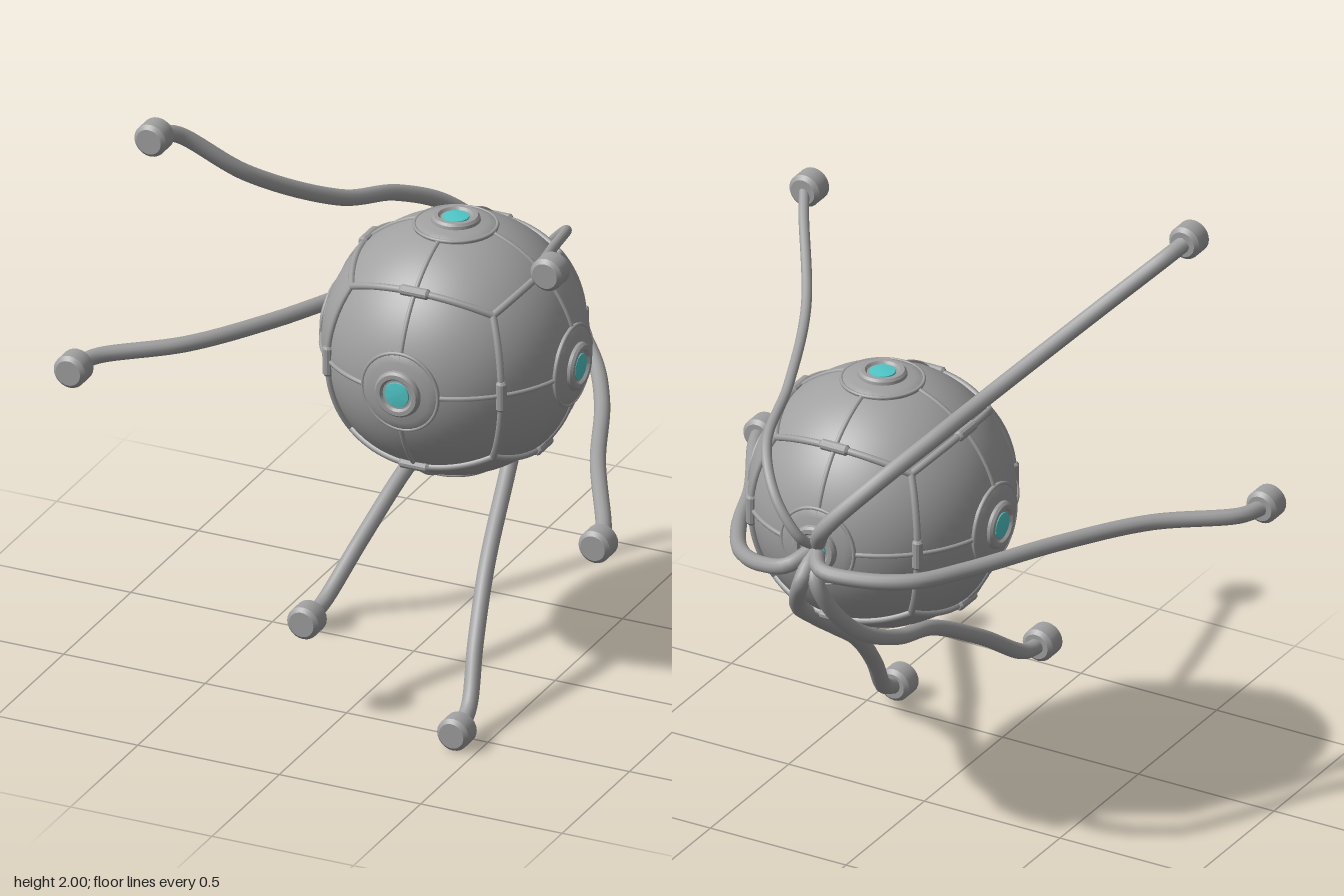
import * as THREE from 'three';
import { toCreasedNormals } from 'three/addons/utils/BufferGeometryUtils.js';

const R = 0.43;
const CENTER = new THREE.Vector3(0.125, 1.11, -0.05);

// Each leg: tube radius, then path points [x, y, z] from foot to hub
const LEGS = [
  { r: 0.027, path: [[-0.645, 1.945, 0.54], [-0.61, 1.91, 0.46], [-0.445, 1.745, 0.31], [-0.26, 1.56, 0], [-0.18, 1.48, -0.26], [-0.076, 1.375, -0.445], [0.06, 1.22, -0.535]] },
  { r: 0.017, path: [[0.755, 1.76, 0.54], [0.71, 1.72, 0.46], [0.54, 1.565, 0.18], [0.425, 1.46, -0.13], [0.345, 1.39, -0.41], [0.24, 1.28, -0.53], [0.15, 1.17, -0.54]] },
  { r: 0.026, path: [[-0.93, 1.065, 0.54], [-0.9, 1.066, 0.46], [-0.68, 1.07, 0.27], [-0.5, 1.073, 0], [-0.34, 1.077, -0.31], [-0.235, 1.08, -0.47], [-0.08, 1.08, -0.55], [0.06, 1.085, -0.56]] },
  { r: 0.026, path: [[0.925, 0.83, 0.54], [0.89, 0.84, 0.46], [0.715, 0.885, 0.135], [0.58, 0.93, -0.18], [0.45, 0.97, -0.39], [0.29, 1.03, -0.53], [0.18, 1.07, -0.56]] },
  { r: 0.026, path: [[-0.105, 0.345, 0.54], [-0.1, 0.36, 0.46], [-0.065, 0.5, 0.25], [-0.03, 0.645, -0.01], [-0.015, 0.695, -0.2], [0.01, 0.8, -0.4], [0.045, 0.93, -0.52], [0.08, 1.04, -0.555]] },
  { r: 0.027, path: [[0.425, 0.06, 0.54], [0.415, 0.1, 0.46], [0.375, 0.255, 0.33], [0.325, 0.44, 0.14], [0.27, 0.625, -0.12], [0.23, 0.757, -0.31], [0.19, 0.89, -0.48], [0.12, 1.04, -0.572]] },
];

const lathe = (points, segments) => toCreasedNormals(
  new THREE.LatheGeometry(points.map(([x, y]) => new THREE.Vector2(x, y)), segments), 0.5);

export function createModel() {
  const gray = new THREE.MeshStandardMaterial({ color: 0xa0a0a0 });
  gray.name = 'shell gray';
  const teal = new THREE.MeshStandardMaterial({ color: 0x50c8c8 });
  teal.name = 'lens teal';

  const model = new THREE.Group();
  model.name = 'sphereWalker';
  const add = (parent, geometry, material, name) => {
    const mesh = new THREE.Mesh(geometry, material);
    mesh.name = name;
    parent.add(mesh);
    return mesh;
  };

  // Spherical body
  const body = new THREE.Group();
  body.name = 'body';
  body.position.copy(CENTER);
  model.add(body);
  add(body, new THREE.SphereGeometry(R, 64, 40), gray, 'shell');

  // Three great-circle seams
  const seam = new THREE.TorusGeometry(R, 0.008, 8, 80);
  add(body, seam, gray, 'seamFront');
  add(body, seam, gray, 'seamSide').rotation.y = Math.PI / 2;
  add(body, seam, gray, 'seamEquator').rotation.x = Math.PI / 2;

  // Twelve raised ribs along the edges of a cube projected on the sphere, each with a clip
  const arc = 2 * Math.atan(Math.SQRT1_2);
  const rib = new THREE.TorusGeometry(R + 0.003, 0.012, 8, 24, arc).rotateZ(-arc / 2);
  const clip = lathe([[0, -0.052], [0.012, -0.052], [0.018, -0.044], [0.018, 0.044], [0.012, 0.052], [0, 0.052]], 12)
    .translate(R + 0.003, 0, 0);
  for (let axis = 0; axis < 3; axis++) {
    for (const a of [-1, 1]) for (const b of [-1, 1]) {
      const along = new THREE.Vector3().setComponent(axis, 1);
      const out = new THREE.Vector3()
        .setComponent((axis + 1) % 3, a).setComponent((axis + 2) % 3, b).normalize();
      const edge = new THREE.Group();
      edge.name = 'ribWithClip';
      edge.quaternion.setFromRotationMatrix(
        new THREE.Matrix4().makeBasis(out, along, out.clone().cross(along)));
      add(edge, rib, gray, 'rib');
      add(edge, clip, gray, 'clip');
      body.add(edge);
    }
  }

  // Six ports: stepped plate, raised ring and lens
  const plate = lathe([[0.138, 0.395], [0.137, 0.413], [0.132, 0.417], [0.105, 0.425], [0.08, 0.43],
    [0.078, 0.44], [0.071, 0.448], [0.057, 0.448], [0.05, 0.439], [0, 0.439]], 40);
  const lens = lathe([[0.044, 0.437], [0.042, 0.443], [0.02, 0.446], [0, 0.446]], 32);
  const rim = new THREE.TorusGeometry(0.133, 0.006, 8, 48).rotateX(Math.PI / 2).translate(0, 0.414, 0);
  const up = new THREE.Vector3(0, 1, 0);
  for (let axis = 0; axis < 3; axis++) {
    for (const s of [-1, 1]) {
      const port = new THREE.Group();
      port.name = 'port';
      port.quaternion.setFromUnitVectors(up, new THREE.Vector3().setComponent(axis, s));
      add(port, plate, gray, 'portPlate');
      add(port, rim, gray, 'portRim');
      add(port, lens, teal, 'lens');
      body.add(port);
    }
  }

  // Six trailing legs that curl out of the back port, with bevelled feet
  const foot = lathe([[0, -0.043], [0.043, -0.043], [0.056, -0.03], [0.056, 0.03], [0.043, 0.043], [0, 0.043]], 24)
    .rotateX(Math.PI / 2);
  for (const { r, path } of LEGS) {
    const leg = new THREE.Group();
    leg.name = 'leg';
    const points = path.map(p => new THREE.Vector3(...p));
    points.push(new THREE.Vector3(0.125, 1.11, -0.47));
    const curve = new THREE.CatmullRomCurve3(points);
    add(leg, new THREE.TubeGeometry(curve, 72, r, 12), gray, 'legTube');
    add(leg, foot, gray, 'foot').position.set(path[0][0], path[0][1], 0.573);
    model.add(leg);
  }
  return model;
}
